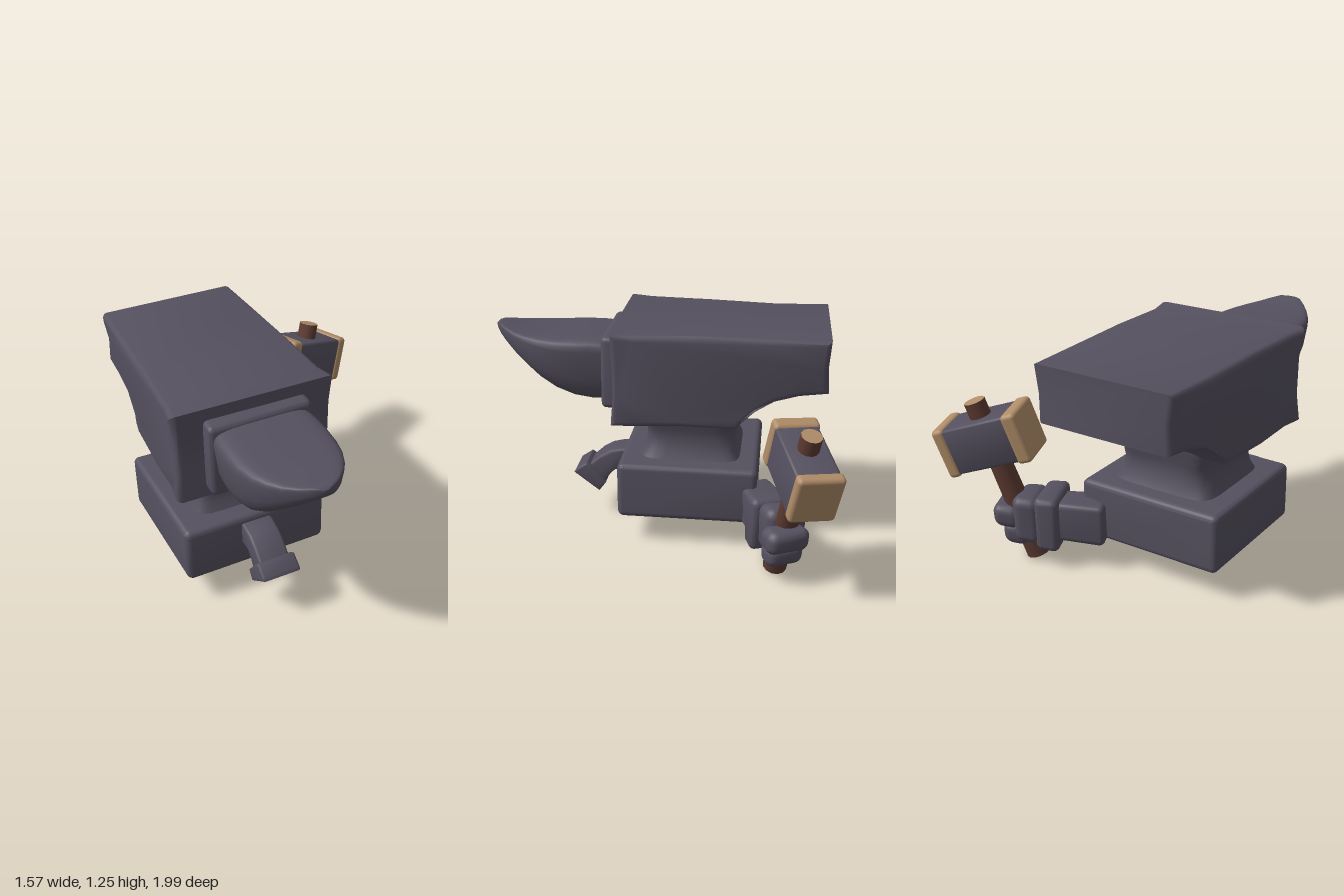
import * as THREE from 'three';
import { toCreasedNormals } from 'three/addons/utils/BufferGeometryUtils.js';
import { RoundedBoxGeometry } from 'three/addons/geometries/RoundedBoxGeometry.js';

const CX = -0.34; // centre line of the anvil

export function createModel() {
  const root = new THREE.Group();
  root.name = 'anvilWithHammer';
  const mat = (name, color) => {
    const m = new THREE.MeshStandardMaterial({ color });
    m.name = name;
    return m;
  };
  const iron = mat('darkIron', 0x55505f);
  const wood = mat('brownWood', 0x5c3b31);
  const tan = mat('tanWood', 0xb08d68);

  const add = (parent, name, geo, material, x = 0, y = 0, z = 0) => {
    const m = new THREE.Mesh(geo, material);
    m.name = name;
    m.position.set(x, y, z);
    parent.add(m);
    return m;
  };

  // Move every vertex by a rule, then smooth all but sharp edges
  const reshape = (geo, rule, crease = 0.6) => {
    const p = geo.attributes.position, v = new THREE.Vector3();
    for (let i = 0; i < p.count; i++) {
      v.fromBufferAttribute(p, i);
      rule(v);
      p.setXYZ(i, v.x, v.y, v.z);
    }
    return toCreasedNormals(geo, crease);
  };

  // Gentle hand-worn unevenness
  const wear = (v, a = 0.005) => {
    const { x, y, z } = v;
    v.x += a * Math.sin(17 * y + 13 * z);
    v.y += a * Math.sin(19 * x + 11 * z + 1);
    v.z += a * Math.sin(15 * x + 18 * y + 2);
  };

  // Side profile of [z, y] points, extruded across x with bevelled edges
  const slab = (points, width, bevel) => {
    const shape = new THREE.Shape(points.map(([z, y]) => new THREE.Vector2(z, y)));
    const geo = new THREE.ExtrudeGeometry(shape, {
      depth: width - 2 * bevel, bevelSize: bevel, bevelThickness: bevel,
      bevelOffset: -bevel, bevelSegments: 3,
    });
    geo.translate(0, 0, bevel - width / 2);
    geo.rotateY(-Math.PI / 2);
    return geo;
  };

  // Skin over closed rings of equal length, capped at both ends
  const loft = (rings) => {
    const n = rings[0].length, pos = [], idx = [];
    rings.forEach((r) => r.forEach((p) => pos.push(...p)));
    for (let i = 0; i < rings.length - 1; i++) {
      for (let j = 0; j < n; j++) {
        const k = (j + 1) % n, a = i * n, b = a + n;
        idx.push(a + j, a + k, b + k, a + j, b + k, b + j);
      }
    }
    const last = (rings.length - 1) * n;
    for (let j = 1; j < n - 1; j++) {
      idx.push(0, j + 1, j, last, last + j, last + j + 1);
    }
    const geo = new THREE.BufferGeometry();
    geo.setAttribute('position', new THREE.Float32BufferAttribute(pos, 3));
    geo.setIndex(idx);
    return geo;
  };

  // Rounded-square outline in the range -1..1
  const outline = (n, power) => Array.from({ length: n }, (_, i) => {
    const t = ((i + 0.5) / n) * Math.PI * 2;
    const f = (c) => Math.sign(c) * Math.abs(c) ** power;
    return [f(Math.cos(t)), f(Math.sin(t))];
  });

  // Anvil body: narrower toward the back, flared at the front, pinched at mid height
  const body = slab([
    [0.268, 0.738], [0.262, 0.9], [0.262, 1.1], [0.27, 1.265], [0.15, 1.258], [-0.2, 1.262],
    [-0.6, 1.25], [-0.908, 1.255], [-0.905, 1.1], [-0.908, 0.955], [-0.75, 0.935],
    [-0.62, 0.895], [-0.52, 0.84], [-0.455, 0.78], [-0.425, 0.738], [-0.1, 0.735], [0.15, 0.738],
  ], 0.9, 0.032);
  add(root, 'anvilBody', reshape(body, (v) => {
    const flare = THREE.MathUtils.smoothstep(v.z, 0.08, 0.27) * 0.055;
    const taper = 0.945 + 0.06 * (Math.min(v.z, 0.15) - 0.15);
    const pinch = v.y > 0.85 && v.y < 1.15 ? 0.035 : 0;
    v.x *= taper + flare - pinch;
    wear(v, 0.004);
  }), iron, CX);

  // Waist between body and base
  const waist = [
    [0.46, 0.31, 0.3], [0.5, 0.295, 0.285], [0.54, 0.275, 0.262], [0.61, 0.262, 0.252],
    [0.66, 0.267, 0.258], [0.71, 0.284, 0.275], [0.78, 0.3, 0.29],
  ].map(([y, hx, hz]) => outline(32, 0.3).map(([u, v]) => [v * hx, y, u * hz - 0.155]));
  add(root, 'waist', reshape(loft(waist), (v) => wear(v, 0.003)), iron, CX);

  // Base block
  add(root, 'base', reshape(new RoundedBoxGeometry(0.83, 0.325, 0.79, 4, 0.035),
    (v) => wear(v)), iron, CX, 0.335, -0.148);

  // Collar behind the horn
  add(root, 'hornCollar', reshape(new RoundedBoxGeometry(0.57, 0.415, 0.14, 3, 0.03),
    (v) => wear(v, 0.004)), iron, CX, 0.988, 0.277);

  // Horn: [z, half width, top, bottom] sections
  const horn = [
    [0.32, 0.265, 1.17, 0.79], [0.42, 0.275, 1.175, 0.79], [0.52, 0.275, 1.172, 0.805],
    [0.62, 0.268, 1.168, 0.843], [0.72, 0.245, 1.168, 0.905], [0.8, 0.21, 1.17, 0.97],
    [0.87, 0.165, 1.175, 1.03], [0.93, 0.115, 1.187, 1.085], [0.97, 0.072, 1.196, 1.125],
    [0.99, 0.04, 1.194, 1.15], [1.0, 0.015, 1.185, 1.165],
  ].map(([z, w, top, bottom]) => {
    const mid = top - 0.4 * (top - bottom);
    return outline(32, 0.4).map(([u, v]) => [
      w * u * (v < 0 ? 1 + 0.2 * v : 1),
      v > 0 ? mid + (top - mid) * v ** 0.7 : mid + (mid - bottom) * v, z]);
  });
  add(root, 'horn', reshape(loft(horn), () => {}, 0.7), iron, CX);

  // Short leg on the front, ending in a flat foot
  const leg = new THREE.Group();
  leg.name = 'frontLeg';
  root.add(leg);
  add(leg, 'legBend', toCreasedNormals(slab([
    [0.2, 0.455], [0.27, 0.452], [0.34, 0.435], [0.4, 0.4], [0.46, 0.345],
    [0.43, 0.24], [0.37, 0.24], [0.34, 0.285], [0.31, 0.315], [0.2, 0.325],
  ], 0.175, 0.015), 0.6), iron, CX);
  add(leg, 'foot', toCreasedNormals(slab([
    [0.365, 0.235], [0.405, 0.182], [0.555, 0.295], [0.545, 0.315], [0.478, 0.36], [0.45, 0.34],
  ], 0.22, 0.012), 0.6), iron, CX);

  // Arm reaching out from the back left of the base: [name, size, position]
  const arm = new THREE.Group();
  arm.name = 'leftArm';
  arm.position.set(0.2, 0.275, -0.635);
  arm.rotation.y = 0.41;
  root.add(arm);
  [
    ['forearm', [0.3, 0.225, 0.2], [-0.15, 0.005, 0], 0.03],
    ['cuff', [0.13, 0.3, 0.275], [0, 0, 0], 0.035],
    ['palm', [0.15, 0.26, 0.235], [0.115, 0.01, -0.015], 0.05],
    ['upperFingers', [0.15, 0.13, 0.24], [0.24, 0.005, 0.015], 0.05],
    ['lowerFingers', [0.14, 0.125, 0.21], [0.195, -0.1, 0.01], 0.05],
  ].forEach(([name, size, at, r]) =>
    add(arm, name, reshape(new RoundedBoxGeometry(...size, 4, r), (v) => wear(v)), iron, ...at));

  // Hammer: local y runs along the handle, local x along the head
  const hammer = new THREE.Group();
  hammer.name = 'hammer';
  const up = new THREE.Vector3(0.265, 0.9, -0.155).normalize();
  const along = new THREE.Vector3(0.91, -0.29, -0.31);
  along.addScaledVector(up, -along.dot(up)).normalize();
  hammer.quaternion.setFromRotationMatrix(
    new THREE.Matrix4().makeBasis(along, up, along.clone().cross(up)));
  hammer.position.set(0.485, 0.715, -0.782);
  root.add(hammer);
  const handle = toCreasedNormals(new THREE.CylinderGeometry(0.056, 0.066, 0.93, 12), 0.7);
  add(hammer, 'handle', handle, [wood, tan, wood], 0, -0.25, 0);
  add(hammer, 'hammerHead', reshape(new RoundedBoxGeometry(0.4, 0.26, 0.235, 3, 0.018),
    (v) => wear(v, 0.003)), iron);
  add(hammer, 'hammerFaceInner', new RoundedBoxGeometry(0.085, 0.28, 0.25, 4, 0.024), tan, -0.205);
  add(hammer, 'hammerFaceOuter', new RoundedBoxGeometry(0.07, 0.28, 0.25, 4, 0.024), tan, 0.215);

  return root;
}
